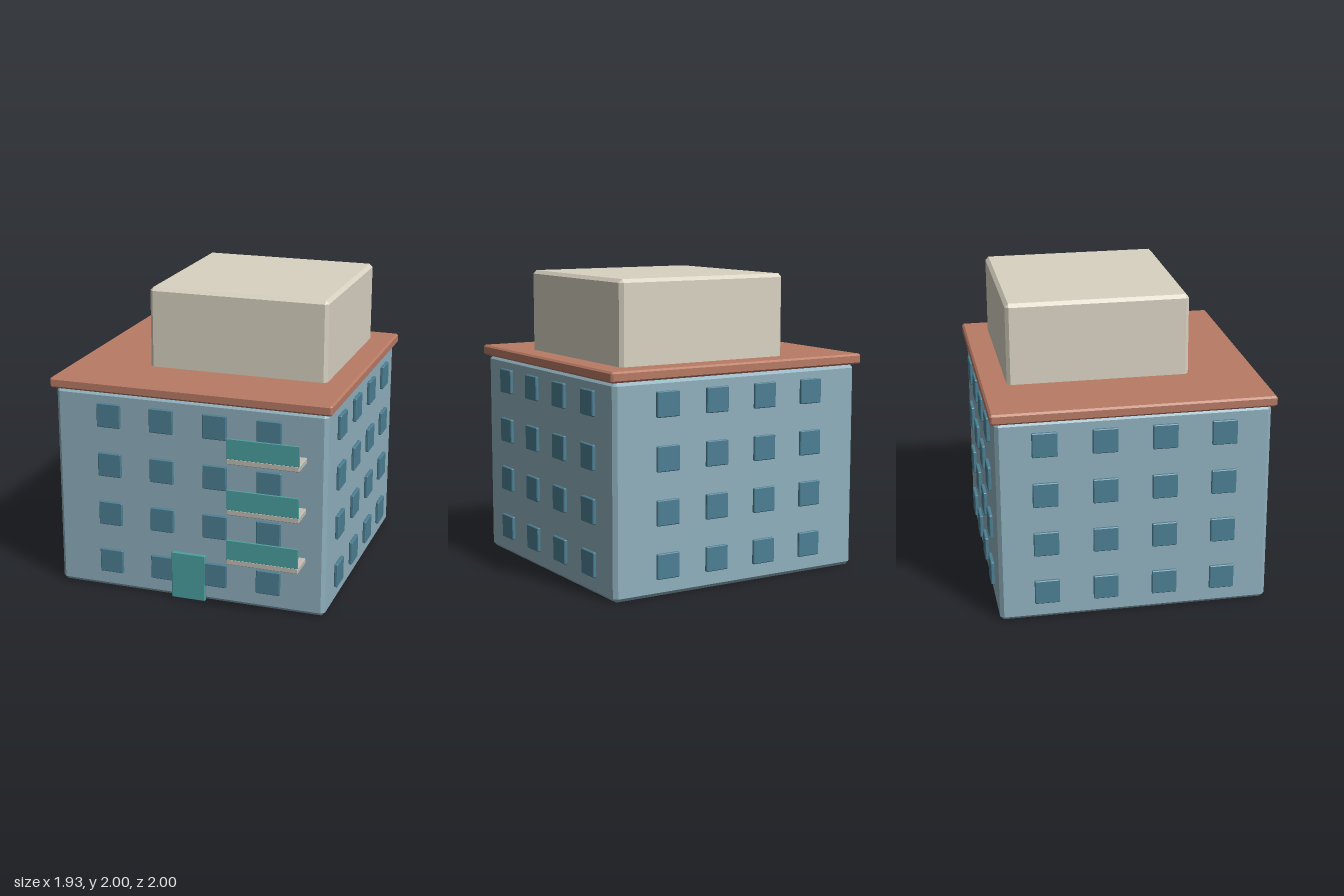
import * as THREE from 'three';
import { ConvexGeometry } from 'three/addons/geometries/ConvexGeometry.js';

const mat = (color) => new THREE.MeshStandardMaterial({ color });

// Box with all edges cut by a flat chamfer c
function chamferBox(w, h, d, c) {
  const pts = [];
  for (const sx of [-1, 1]) for (const sy of [-1, 1]) for (const sz of [-1, 1]) {
    for (let a = 0; a < 3; a++) {
      const cut = [c, c, c];
      cut[a] = 0;
      pts.push(new THREE.Vector3(sx * (w / 2 - cut[0]), sy * (h / 2 - cut[1]), sz * (d / 2 - cut[2])));
    }
  }
  return new ConvexGeometry(pts);
}

// Chamfered block given by its extents on each axis
function block(name, [x0, x1], [y0, y1], [z0, z1], c, material) {
  const mesh = new THREE.Mesh(chamferBox(x1 - x0, y1 - y0, z1 - z0, c), material);
  mesh.name = name;
  mesh.position.set((x0 + x1) / 2, (y0 + y1) / 2, (z0 + z1) / 2);
  return mesh;
}

export function createModel() {
  const building = new THREE.Group();
  building.name = 'apartmentBuilding';

  const wall = mat(0x8fb0bd), glass = mat(0x4c7f93), brick = mat(0xb87a64);
  const plaster = mat(0xd8d2c1), concrete = mat(0xc2beb4), teal = mat(0x4aa09e);

  const halfW = 0.932, halfD = 0.894, midZ = -0.076, floorStep = 0.344;

  // Main volume, roof slab and rooftop block
  building.add(
    block('walls', [-halfW, halfW], [0, 1.385], [midZ - halfD, midZ + halfD], 0.025, wall),
    block('roofSlab', [-0.963, 0.963], [1.385, 1.455], [-1, 0.847], 0.012, brick),
    block('rooftopBlock', [-0.432, 0.8], [1.42, 2], [-0.829, 0.384], 0.023, plaster),
  );

  // Four facades, each with a 4 x 4 grid of windows
  const pane = chamferBox(0.164, 0.164, 0.024, 0.005);
  const facades = [
    ['front', 0, halfD, 0.368], ['left', Math.PI / 2, halfW, 0.389],
    ['back', Math.PI, halfD, 0.368], ['right', -Math.PI / 2, halfW, 0.389],
  ];
  for (const [side, angle, distance, pitch] of facades) {
    const facade = new THREE.Group();
    facade.name = side + 'Windows';
    facade.position.z = midZ;
    facade.rotation.y = angle;
    for (let row = 0; row < 4; row++) for (let col = 0; col < 4; col++) {
      const win = new THREE.Mesh(pane, glass);
      win.name = 'window';
      win.position.set((col - 1.5) * pitch, 0.198 + row * floorStep, distance + 0.013);
      facade.add(win);
    }
    building.add(facade);
  }

  // Entrance door
  building.add(block('door', [-0.117, 0.117], [0.002, 0.327], [0.818, 0.846], 0.004, teal));

  // Balconies on the upper three floors
  for (let i = 0; i < 3; i++) {
    const y = 0.365 + i * floorStep;
    const balcony = new THREE.Group();
    balcony.name = 'balcony';
    balcony.add(
      block('balconySlab', [0.319, 0.8], [y, y + 0.038], [0.818, 0.998], 0.004, concrete),
      block('balconyRail', [0.319, 0.8], [y + 0.036, y + 0.17], [0.986, 1], 0.002, teal),
    );
    building.add(balcony);
  }

  return building;
}
